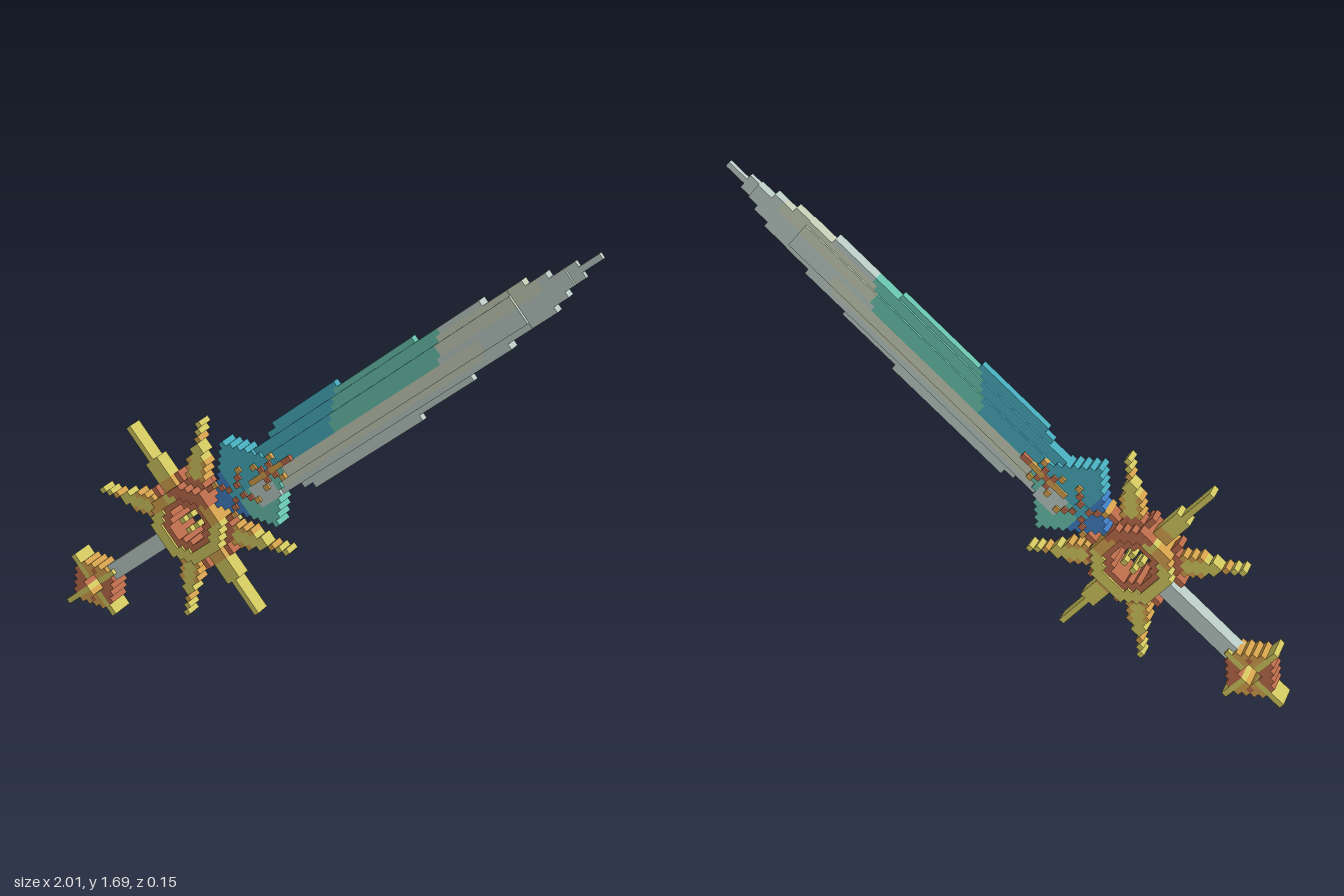
import * as THREE from 'three';
import { mergeGeometries } from 'three/addons/utils/BufferGeometryUtils.js';

const P = 0.0205;                          // size of one square cell
const TILT = THREE.MathUtils.degToRad(40);
const CX = -0.46, CY = 0.47;               // hub of the guard

const colours = {
  steel: 0xb8c8c2, paleSteel: 0xc3cab4, teal: 0x66bfaa, cyan: 0x46a9ba,
  blue: 0x3f7cc0, gold: 0xcfc55e, amber: 0xd2a04c, copper: 0xb96a4a,
};
const materials = {};

// Builds a part from square cells: rule(i, j) gives [colour, half depth] or null.
// i runs along the sword, j across it; equal neighbours in a row become one box.
function cells(name, i0, i1, j0, j1, rule) {
  const part = new THREE.Group();
  part.name = name;
  const boxes = {};
  for (let j = j0; j <= j1; j++) {
    let start = i0, current = null;
    for (let i = i0; i <= i1 + 1; i++) {
      const cell = i <= i1 ? rule(i, j) : null;
      const same = cell && current && cell[0] === current[0] && cell[1] === current[1];
      if (same) continue;
      if (current) {
        const box = new THREE.BoxGeometry((i - start) * P, P, current[1] * 2);
        box.translate(((start + i - 1) / 2) * P, j * P, 0);
        (boxes[current[0]] ||= []).push(box);
      }
      start = i;
      current = cell;
    }
  }
  for (const [colour, list] of Object.entries(boxes)) {
    const mesh = new THREE.Mesh(mergeGeometries(list), materials[colour]);
    mesh.name = `${name} ${colour}`;
    part.add(mesh);
  }
  return part;
}

// Blade: long strips stepping in towards the tip, thickest along the middle
const upperEnds = [92, 88, 83, 79, 71, 57, 40];
const lowerEnds = [92, 88, 84, 81, 71, 62, 50];
function bladeRule(i, j) {
  const a = Math.abs(j);
  const end = (j > 0 ? upperEnds : lowerEnds)[a];
  const begin = a === 6 ? 26 : a === 5 ? 24 : 18;
  if (i < begin || i > end) return null;
  const acrossDepth = a <= 2 ? 0.029 : a <= 4 ? 0.022 : 0.014;
  const alongDepth = i <= 76 ? 0.029 : i <= 86 ? 0.018 : 0.009;
  const x = CX + P * (i * Math.cos(TILT) - j * Math.sin(TILT));
  let colour = 'steel';
  if (j >= 0 && x < 0.09) colour = 'cyan';
  else if (j >= 0 && x < 0.47) colour = 'teal';
  else if (j >= 1 && j <= 3 && x < 0.8) colour = 'paleSteel';
  else if (j < 0 && j >= -3 && x < 0.62) colour = 'paleSteel';
  return [colour, Math.min(acrossDepth, alongDepth)];
}

// Diamond collar where the blade meets the guard
function collarRule(i, j) {
  if (Math.abs(i - 15) + Math.abs(j) > 8) return null;
  let colour = j >= 0 ? 'cyan' : 'teal';
  if (i <= 11) colour = 'blue';
  else if (j < 0 && j >= -4 && i >= 15 && i <= 19) colour = 'steel';
  return [colour, 0.036];
}

// Raised crosses and spike on the collar
function ornamentRule(i, j) {
  const a = Math.abs(j), d = Math.abs(i - 12), e = Math.abs(i - 20);
  if (d + a <= 1) return ['cyan', 0.04];
  if (d === a && a <= 3) return [a === 3 ? 'amber' : 'copper', 0.045];
  if (e === a && a <= 2) return [a === 2 ? 'amber' : 'copper', 0.045];
  if (j === 0 && i >= 16 && i <= 25) return [i > 23 ? 'copper' : 'amber', 0.045];
  return null;
}

// Octagonal ring with an open middle
function ringRule(i, j) {
  const a = Math.abs(i), b = Math.abs(j), sum = a + b, m = Math.max(a, b);
  if (sum > 9 || m > 6) return null;
  if (m <= 3 && sum <= 4) return null;
  if (m <= 4 && sum <= 6) return ['copper', 0.066];
  if (i > 0 && j > 0 && sum >= 7) return ['copper', 0.075];
  if ((i > 4 && b < 3) || (j > 4 && i < 0)) return ['amber', 0.075];
  return ['gold', 0.075];
}

// Small cross floating in the middle of the ring
const hubRule = (i, j) => (Math.abs(i) === Math.abs(j) && i !== 0 ? ['gold', 0.05] : null);

// Sun rays: straight above and below, stepped on the diagonals, short ticks between
function rayRule(i, j) {
  const a = Math.abs(i), b = Math.abs(j), sum = a + b, diff = Math.abs(a - b);
  if (a <= 1 && b >= 6 && b <= 19) {
    if (a === 1 && b > 12) return null;
    return [b < 9 ? 'amber' : 'gold', 0.03];
  }
  if (sum >= 9 && a >= 4 && b >= 4 && a <= 13 && b <= 13) {
    const reach = sum <= 17 ? 2 : sum <= 20 ? 1 : 0;
    if (diff > reach) return null;
    const colour = sum <= 11 ? 'copper' : diff === 2 || sum === 22 ? 'amber' : 'gold';
    return [colour, 0.03];
  }
  const tick = (p, q) => q === 3 && (p === 7 || p === 8);
  return tick(a, b) || tick(b, a) ? ['copper', 0.03] : null;
}

// Pommel: pierced diamond with three spikes
function pommelRule(i, j) {
  const d = i + 27, a = Math.abs(d), b = Math.abs(j);
  if (Math.max(a, b) <= 1) return null;
  if (a + b <= 5) {
    const colour = a === 0 || b === 0 ? 'gold' : d * j < 0 || a === b ? 'copper' : 'amber';
    return [colour, 0.046];
  }
  const spike = (j === 0 && d < 0 && a <= 7) || (d === 0 && b <= 6);
  return spike ? ['gold', 0.046] : null;
}

export function createModel() {
  for (const [name, color] of Object.entries(colours)) {
    materials[name] = new THREE.MeshStandardMaterial({ color });
    materials[name].name = name;
  }
  const sword = new THREE.Group();
  sword.name = 'sword';
  sword.add(
    cells('blade', 18, 92, -6, 6, bladeRule),
    cells('collar', 7, 23, -8, 8, collarRule),
    cells('collar ornament', 9, 25, -3, 3, ornamentRule),
    cells('guard ring', -6, 6, -6, 6, ringRule),
    cells('guard hub', -1, 1, -1, 1, hubRule),
    cells('guard rays', -13, 13, -19, 19, rayRule),
    cells('grip', -24, -5, -1, 1, () => ['steel', 0.028]),
    cells('pommel', -34, -22, -6, 6, pommelRule),
  );
  sword.rotation.z = TILT;
  sword.position.set(CX, CY, 0);

  const model = new THREE.Group();
  model.name = 'model';
  model.add(sword);
  return model;
}
